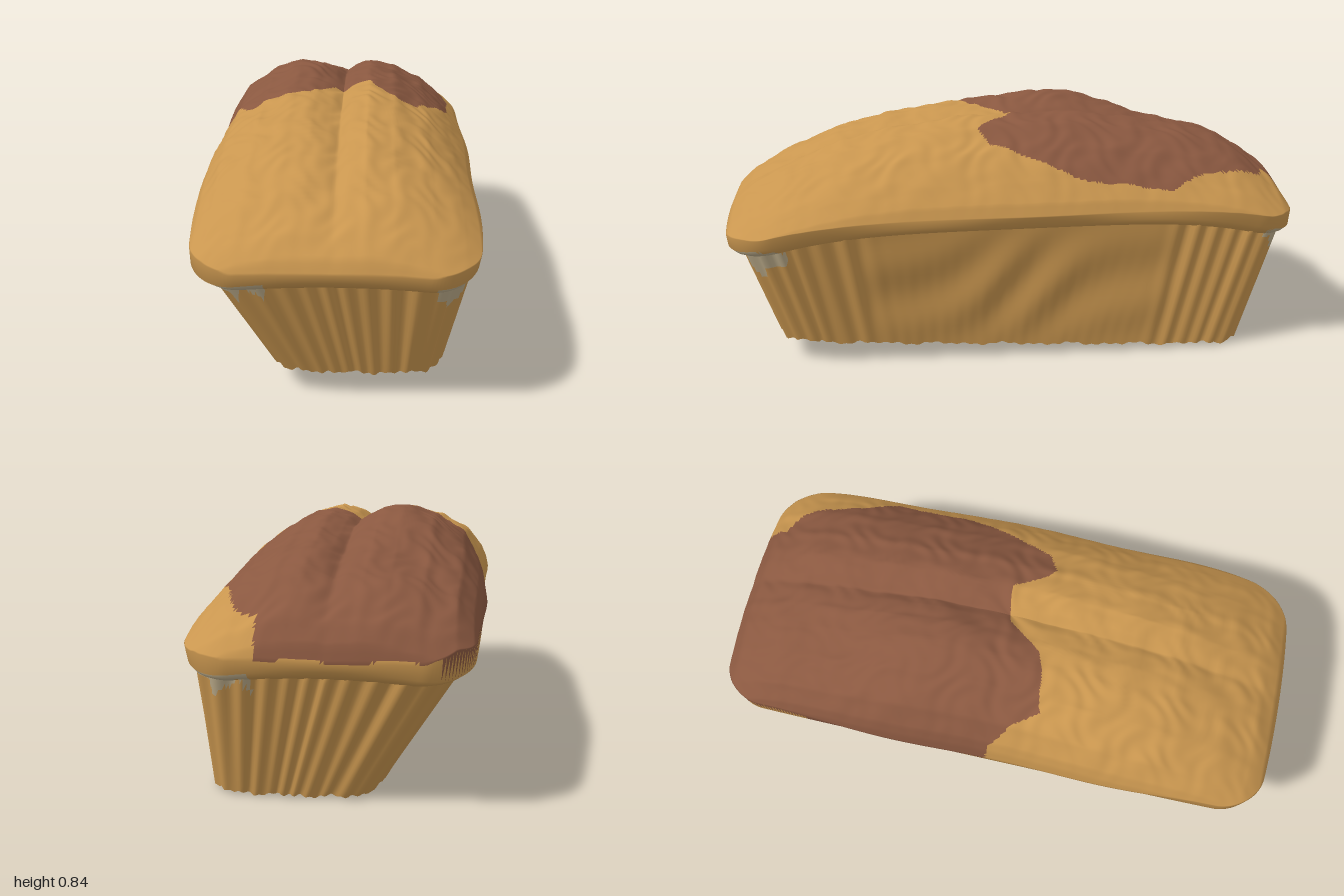
import * as THREE from 'three';

const N = 480; // points around every ring
const { smoothstep, lerp } = THREE.MathUtils;

const mat = (name, color) => Object.assign(
  new THREE.MeshStandardMaterial({ color, side: THREE.DoubleSide }), { name });

// Linear lookup in a short list of [position, value] pairs
function look(table, p) {
  if (p <= table[0][0]) return table[0][1];
  for (let i = 1; i < table.length; i++) {
    const [a, va] = table[i - 1], [b, vb] = table[i];
    if (p <= b) return lerp(va, vb, (p - a) / (b - a));
  }
  return table[table.length - 1][1];
}

// Height of the crust above its edge: across the loaf and along it
const ACROSS = [[-1, 0], [-0.98, 0.05], [-0.94, 0.1], [-0.83, 0.175], [-0.6, 0.24], [-0.37, 0.268],
  [-0.2, 0.262], [-0.07, 0.24], [0, 0.225], [0.07, 0.245], [0.2, 0.268], [0.4, 0.25], [0.65, 0.185],
  [0.85, 0.1], [0.96, 0.04], [1, 0]];
const ALONG = [[-1, 0], [-0.985, 0.2], [-0.94, 0.4], [-0.85, 0.6], [-0.75, 0.75], [-0.6, 0.86], [-0.4, 0.95],
  [-0.2, 1.03], [0, 1.02], [0.2, 0.99], [0.4, 0.9], [0.6, 0.74], [0.8, 0.49], [0.92, 0.31], [0.98, 0.15], [1, 0]];

// Edge of the chocolate area, as seen from above
const CHOCOLATE = [[-0.6, 0], [-0.43, 0.02], [-0.38, 0.07], [-0.31, 0.18], [-0.25, 0.15], [-0.12, 0.12],
  [-0.03, 0], [0.1, 0], [0.16, 0.09], [0.2, 0.13], [0.27, 0.1], [0.32, -0.03], [0.36, -0.15],
  [0.385, -0.25], [0.405, -0.4], [0.405, -0.53], [0.36, -0.62], [0.33, -0.72], [0.29, -0.85], [0.21, -0.9],
  [0.18, -1.1], [-0.6, -1.1]];

function inside(poly, x, z) {
  let hit = false;
  poly.forEach(([ax, az], i) => {
    const [bx, bz] = poly[(i + 1) % poly.length];
    if ((az > z) !== (bz > z) && x < ax + (bx - ax) * (z - az) / (bz - az)) hit = !hit;
  });
  return hit;
}

// Rounded rectangle with half sizes of 1, slightly bowed on every side
function unitOutline() {
  const w = 0.45, d = 1, r = 0.15, s = new THREE.Shape();
  s.moveTo(w, 0);
  s.absarc(w - r, d - r, r, 0, Math.PI / 2);
  s.absarc(-w + r, d - r, r, Math.PI / 2, Math.PI);
  s.absarc(-w + r, -d + r, r, Math.PI, Math.PI * 1.5);
  s.absarc(w - r, -d + r, r, Math.PI * 1.5, Math.PI * 2);
  s.closePath();
  return s.getSpacedPoints(N).slice(0, N).map(p => {
    const x = p.x / w, z = p.y / d;
    return { x: x * (1 - 0.07 * z ** 4), z: z * (1 - 0.02 * x * x) };
  });
}

// Widest line of the crust and top of the paper case; both sink at the corners
const edgeY = (u, z) => 0.535 - 0.055 * z ** 4 - 0.07 * u * u * z ** 4;
const lipY = (u, z) => 0.49 - 0.065 * z ** 4 - 0.045 * u * u * z ** 4;
const bumps = (x, z) =>
  0.005 * Math.sin(19 * x + 4 * Math.sin(7 * z)) * Math.sin(15 * z + 3 * Math.sin(9 * x)) +
  0.004 * Math.sin(47 * x + 3 * Math.sin(21 * z)) * Math.sin(41 * z + 2 * Math.sin(33 * x));
const mound = (x, z, x0, z0, wx, wz) => Math.exp(-(((x - x0) / wx) ** 2) - ((z - z0) / wz) ** 2);

// Bare paper around the corners, just under the crust
function isPale(x, y, z, i) {
  if (y > 0.44) return false;
  const tooth = 0.025 * Math.sin(i * 0.45) + 0.01 * Math.sin(i * 1.1);
  if (z > 0.78) return (x < -0.2 || x > 0.31) && y > (x < 0 ? 0.375 : 0.36) + tooth;
  return z < -0.86 && x > 0.22 && y > 0.385 + tooth;
}

// Skin over closed rings; pick(x, y, z, i) gives the material index of each triangle
function skin(name, rings, materials, pick) {
  const pos = rings.flat(), faces = materials.map(() => []);
  const add = (i, ...t) => {
    const c = [0, 1, 2].map(k => t.reduce((s, v) => s + pos[v][k], 0) / 3);
    faces[pick(...c, i)].push(...t);
  };
  for (let j = 0; j < rings.length - 1; j++) {
    for (let i = 0; i < N; i++) {
      const a = j * N + i, b = j * N + (i + 1) % N;
      add(i, a, a + N, b);
      add(i, b, a + N, b + N);
    }
  }
  const geo = new THREE.BufferGeometry();
  geo.setAttribute('position', new THREE.Float32BufferAttribute(pos.flat(), 3));
  geo.setIndex(faces.flat());
  let start = 0;
  faces.forEach((f, m) => { geo.addGroup(start, f.length, m); start += f.length; });
  geo.computeVertexNormals();
  const mesh = new THREE.Mesh(geo, materials);
  mesh.name = name;
  return mesh;
}

export function createModel() {
  const golden = mat('golden crust', 0xc9964f);
  const chocolate = mat('chocolate crust', 0x8a5840);
  const paper = mat('pale paper', 0xb9a988);
  const outline = unitOutline();
  const model = new THREE.Group();
  model.name = 'loafCake';

  // Paper case: open below, flaring upward, pleated at the ends and corners
  const wall = [];
  const V = 18;
  for (let j = 0; j <= V; j++) {
    const v = j / V;
    wall.push(outline.map((p, i) => {
      const q = outline[(i + 1) % N], o = outline[(i + N - 1) % N];
      const nx = q.z - o.z, nz = -(q.x - o.x) * 0.45;
      const len = Math.hypot(nx, nz) || 1;
      const skew = 0.035 * p.z * (1 - v); // the base leans toward +x at the back
      const x = lerp(0.1, 0.012, v) - skew + p.x * lerp(0.28, 0.42, v);
      const z = lerp(0.01, -0.004, v) + p.z * lerp(0.825, 0.952, v);
      const ends = smoothstep(Math.abs(p.z), 0.48, 0.65);
      const pleat = 0.011 * ends * Math.sin(i * Math.PI * 2 * 70 / N + 1.5 * Math.sin(i * 0.13))
        * (0.5 + 0.5 * v) * (0.75 + 0.25 * Math.sin(i * 0.29));
      const crease = 0.007 * (1 - ends) * Math.sin(16 * z + 9 * v + 2 * Math.sin(7 * z)) * Math.sin(Math.PI * v);
      const off = pleat + crease;
      const ragged = 0.006 * Math.sin(i * 0.37) * Math.sin(i * 0.11) + 0.003 * Math.sin(i * 1.3);
      const low = 0.046 + 0.037 * p.z + ragged;
      return [x + nx / len * off, lerp(low, lipY(p.x, p.z) + 0.01, v), z + nz / len * off];
    }));
  }
  model.add(skin('paperCase', wall, [golden, paper], (x, y, z, i) => isPale(x, y, z, i) ? 1 : 0));

  // Crust: a rolled lip, then rings shrinking over the twin-ridged dome
  const crust = [];
  for (const [v, grow] of [[0, 0], [0.2, 0.5], [0.55, 0.88]]) {
    crust.push(outline.map(p => [
      lerp(0.012, 0, grow) + p.x * lerp(0.425, 0.456, grow),
      lerp(lipY(p.x, p.z), edgeY(p.x, p.z), v),
      p.z * lerp(0.955, 0.998, grow)]));
  }
  const M = 60;
  for (let j = 0; j <= M; j++) {
    const t = 1 - (j / M) ** 1.4;
    crust.push(outline.map(p => {
      const u = p.x * t, z = p.z * t;
      const rise = look(ACROSS, u) * look(ALONG, z);
      const wobble = 0.005 * Math.sin(8 * z + 2 * u);
      const x = u * (0.457 + wobble);
      // a high lump in the middle and a sunken patch behind it
      const lumps = 0.032 * mound(x, z, -0.18, -0.2, 0.16, 0.25) - 0.035 * mound(x, z, -0.22, -0.62, 0.18, 0.2);
      const y = edgeY(u, z) + rise + (bumps(x, z) + lumps) * Math.min(1, rise * 8);
      return [x, y, z * 0.998];
    }));
  }
  model.add(skin('cakeCrust', crust, [golden, chocolate, paper], (x, y, z, i) => {
    if (isPale(x, y, z, i)) return 2;
    const wave = 0.012 * Math.sin(23 * x + 19 * z);
    return y > 0.515 - 0.03 * z * z + wave && inside(CHOCOLATE, x + wave * 0.5, z + wave) ? 1 : 0;
  }));

  return model;
}
